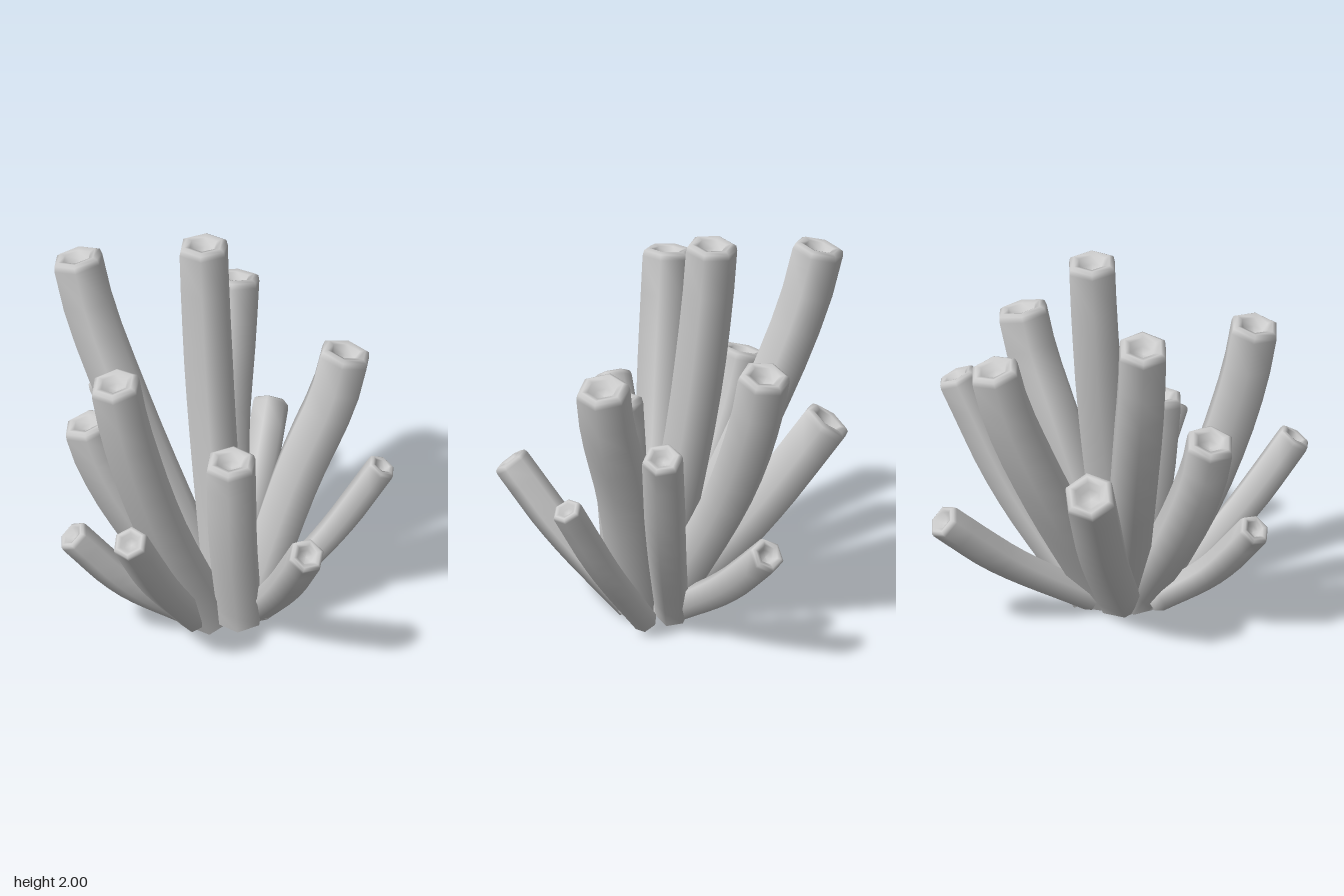
import * as THREE from 'three';

const SIDES = 6, STEPS = 10;
// Rim profile: [offset along the axis, radius], both relative to the tube radius
const RIM = [[-0.3, 1], [-0.09, 0.95], [0, 0.78], [-0.06, 0.56], [-0.36, 0.4], [-0.4, 0]];

// Each tube: radius, foot, middle and tip
const TUBES = [
  [0.128, [0, 0.05, 0.06], [0, 1.1, -0.13], [0, 1.99, -0.225]],
  [0.13, [-0.04, 0.05, 0.02], [-0.31, 0.95, -0.35], [-0.505, 1.82, -0.61]],
  [0.132, [-0.04, 0.06, 0], [-0.15, 0.5, -0.38], [-0.275, 1.01, -0.735]],
  [0.13, [0.05, 0.06, 0], [0.18, 0.75, -0.37], [0.335, 1.49, -0.605]],
  [0.09, [0.08, 0.07, -0.08], [0.37, 0.36, -0.43], [0.57, 0.645, -0.7]],
  [0.102, [0.12, 0.05, -0.06], [0.49, 0.6, -0.15], [0.765, 1.18, -0.22]],
  [0.135, [0.09, 0.06, 0.13], [0.36, 0.78, 0.115], [0.6, 1.43, 0.14]],
  [0.076, [0.285, 0.06, 0.02], [0.525, 0.42, 0.155], [0.73, 0.815, 0.285]],
  [0.13, [0.01, 0.07, 0.2], [-0.05, 0.55, 0.25], [-0.08, 1.06, 0.29]],
  [0.092, [0.12, 0.06, 0.15], [0.12, 0.4, 0.49], [0.115, 0.75, 0.775]],
  [0.09, [-0.2, 0.07, 0.12], [-0.5, 0.5, 0.36], [-0.72, 0.89, 0.52]],
  [0.128, [-0.1, 0.04, 0.1], [-0.4, 0.68, 0.175], [-0.665, 1.62, 0.215]],
  [0.084, [-0.2, 0.07, 0.06], [-0.52, 0.32, 0.04], [-0.795, 0.635, -0.01]],
  [0.127, [-0.08, 0.06, 0.05], [-0.4, 0.56, -0.07], [-0.64, 1.15, -0.178]],
];

// Six-sided tube swept along a bent path, with a rounded lip and a dimpled mouth
function tubeGeometry(radius, ...path) {
  const points = path.map(p => new THREE.Vector3(...p));
  const [, middle, tip] = points;
  // Tall thick tubes straighten up near the tip
  if (radius > 0.12 && tip.y > 1.1) {
    const shoulder = middle.clone().lerp(tip, 0.65);
    shoulder.x *= 1.045;
    shoulder.z *= 1.045;
    points.splice(2, 0, shoulder);
  }
  const curve = new THREE.CatmullRomCurve3(points);
  const positions = [], indices = [];
  const axis = new THREE.Vector3(), side = new THREE.Vector3(), up = new THREE.Vector3(), v = new THREE.Vector3();

  const addRing = (centre, tangent, r) => {
    side.set(1, 0, 0).addScaledVector(tangent, -tangent.x).normalize();
    up.crossVectors(tangent, side);
    for (let j = 0; j < SIDES; j++) {
      const a = (j / SIDES) * Math.PI * 2;
      v.copy(centre).addScaledVector(side, r * Math.cos(a)).addScaledVector(up, r * Math.sin(a));
      positions.push(v.x, Math.max(0, v.y), v.z);
    }
  };

  // Stem, narrowing towards its foot
  const foot = radius > 0.11 ? 0.88 : 0.8;
  const end = 1 - (0.45 * radius) / curve.getLength();
  for (let i = 0; i < STEPS; i++) {
    const t = (i / STEPS) * end;
    addRing(curve.getPointAt(t), curve.getTangentAt(t), radius * (foot + (1 - foot) * Math.min(1, t * 1.5)));
  }
  // Lip and mouth
  curve.getTangentAt(1, axis);
  for (const [offset, scale] of RIM) {
    addRing(tip.clone().addScaledVector(axis, offset * radius), axis, scale * radius);
  }

  // Quads between rings; the last ring is a point, so it needs one triangle per side
  const rings = STEPS + RIM.length;
  for (let i = 0; i < rings - 1; i++) {
    for (let j = 0; j < SIDES; j++) {
      const a = i * SIDES + j, b = i * SIDES + (j + 1) % SIDES;
      indices.push(a, b, a + SIDES);
      if (i < rings - 2) indices.push(b, b + SIDES, a + SIDES);
    }
  }
  const geometry = new THREE.BufferGeometry();
  geometry.setAttribute('position', new THREE.Float32BufferAttribute(positions, 3));
  geometry.setIndex(indices);
  geometry.computeVertexNormals();
  return geometry;
}

export function createModel() {
  const model = new THREE.Group();
  model.name = 'tubeCoral';
  // Feet are open, so both sides show
  const material = new THREE.MeshStandardMaterial({ color: 0xcccccc, side: THREE.DoubleSide });
  TUBES.forEach((tube, i) => {
    const mesh = new THREE.Mesh(tubeGeometry(...tube), material);
    mesh.name = `coralTube${i + 1}`;
    model.add(mesh);
  });
  return model;
}
